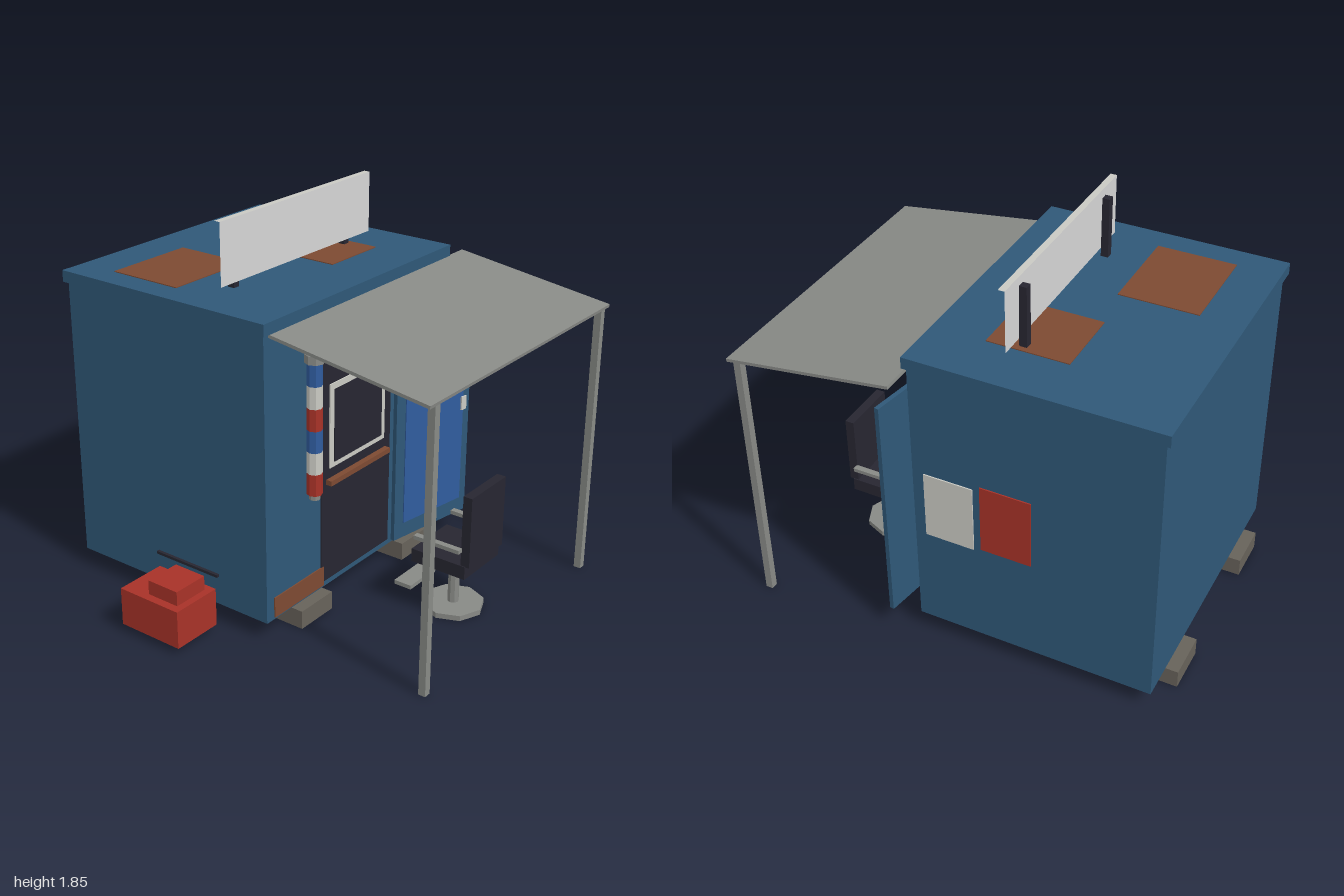
import * as THREE from 'three';

const mat = (name, color) => {
  const m = new THREE.MeshStandardMaterial({ color });
  m.name = name;
  return m;
};

export function createModel() {
  const root = new THREE.Group();
  root.name = 'barberKiosk';
  const wall = mat('wallBlue', 0x2f5878);
  const blue = mat('brightBlue', 0x305c9e);
  const dark = mat('nearBlack', 0x272631);
  const white = mat('offWhite', 0xcacac3);
  const red = mat('red', 0xa83228);
  const metal = mat('greyMetal', 0x888a86);
  const timber = mat('skidGrey', 0x67625a);
  const rust = mat('rust', 0x7d4a32);
  const signGrey = mat('signGrey', 0xd6d6d6);

  const add = (name, geo, material, x, y, z, parent = root) => {
    const m = new THREE.Mesh(geo, material);
    m.name = name;
    m.position.set(x, y, z);
    parent.add(m);
    return m;
  };
  // Box given by its extents on each axis
  const box = (name, material, [x0, x1], [y0, y1], [z0, z1], parent = root) =>
    add(name, new THREE.BoxGeometry(x1 - x0, y1 - y0, z1 - z0), material,
      (x0 + x1) / 2, (y0 + y1) / 2, (z0 + z1) / 2, parent);
  // Faceted upright cylinder
  const cyl = (name, material, r, [y0, y1], x, z, parent) => {
    const g = new THREE.CylinderGeometry(r, r, y1 - y0, 8).toNonIndexed();
    g.computeVertexNormals();
    return add(name, g, material, x, (y0 + y1) / 2, z, parent);
  };
  const group = (name) => {
    const g = new THREE.Group();
    g.name = name;
    root.add(g);
    return g;
  };

  // Cabin, roof and skids
  box('cabin', wall, [-0.595, 0.775], [0.09, 1.46], [-0.94, 0.2]);
  box('roof', wall, [-0.61, 0.79], [1.46, 1.515], [-0.96, 0.215]);
  for (const x of [-0.42, 0.38]) box('skid', timber, [x, x + 0.225], [0, 0.09], [-1, 0.26]);

  // Rust patches on the roof and front wall
  box('roofRustPatch', rust, [-0.485, -0.03], [1.514, 1.519], [-0.755, -0.38]);
  box('roofRustPatch', rust, [0.195, 0.535], [1.514, 1.519], [-0.42, -0.04]);
  box('wallRustPatch', rust, [-0.545, -0.185], [0.1, 0.2], [0.199, 0.206]);

  // Doorway with mirror and shelf
  box('doorway', dark, [-0.205, 0.33], [0.12, 1.285], [0.199, 0.205]);
  box('mirrorFrame', white, [-0.15, 0.275], [0.69, 1.1], [0.204, 0.211]);
  box('mirror', dark, [-0.12, 0.245], [0.715, 1.07], [0.21, 0.215]);
  box('shelf', rust, [-0.17, 0.29], [0.615, 0.64], [0.204, 0.235]);

  // Door standing ajar
  const door = group('door');
  door.position.set(0.59, 0, 0.272);
  door.rotation.y = -0.165;
  box('doorLeaf', wall, [-0.257, 0.257], [0.12, 1.26], [-0.011, 0.011], door);
  box('doorPanel', blue, [-0.197, 0.21], [0.2, 1.175], [0.01, 0.016], door);
  box('doorHandle', white, [0.19, 0.225], [0.69, 0.76], [0.015, 0.024], door);

  // Notices on the side wall
  box('whiteNotice', white, [0.774, 0.781], [0.59, 0.925], [-0.09, 0.145]);
  box('redNotice', red, [0.774, 0.781], [0.605, 0.95], [-0.365, -0.125]);

  // Striped pole
  const pole = group('stripedPole');
  const stripes = [red, white, blue];
  for (let i = 0; i < 6; i++) {
    const y = 0.66 + i * 0.1035;
    cyl('poleStripe', stripes[i % 3], 0.036, [y, y + 0.1035], -0.34, 0.27, pole);
  }
  cyl('poleTopCap', metal, 0.045, [1.281, 1.32], -0.34, 0.27, pole);
  cyl('poleBottomCap', metal, 0.026, [0.635, 0.66], -0.34, 0.27, pole);

  // Awning and its posts
  const awning = add('awning', new THREE.BoxGeometry(1.485, 0.015, 0.806), metal, 0.1775, 1.395, 0.6);
  awning.rotation.x = 0.137;
  for (const x of [-0.525, 0.845]) box('awningPost', metal, [x, x + 0.035], [0, 1.338], [0.963, 0.998]);

  // Roof sign: open-ended shell on two posts
  const sign = group('roofSign');
  sign.position.set(0.09, 1.7, -0.165);
  const face = new THREE.PlaneGeometry(1.08, 0.29);
  const rim = new THREE.PlaneGeometry(1.08, 0.03);
  add('signFront', face, signGrey, 0, 0, 0.015, sign);
  add('signBack', face, signGrey, 0, 0, -0.015, sign).rotation.y = Math.PI;
  add('signTop', rim, white, 0, 0.145, 0, sign).rotation.x = -Math.PI / 2;
  add('signBottom', rim, white, 0, -0.145, 0, sign).rotation.x = Math.PI / 2;
  for (const x of [-0.33, 0.475]) box('signPost', dark, [x, x + 0.035], [1.515, 1.805], [-0.216, -0.181]);

  // Barber chair facing the mirror
  const chair = group('barberChair');
  cyl('chairBase', metal, 0.147, [0, 0.026], 0.177, 0.688, chair);
  cyl('chairColumn', metal, 0.027, [0.026, 0.25], 0.177, 0.688, chair);
  box('seat', dark, [0.03, 0.325], [0.25, 0.315], [0.545, 0.83], chair);
  box('backrest', dark, [0.035, 0.32], [0.313, 0.66], [0.805, 0.85], chair);
  for (const x of [0.005, 0.315]) box('armrest', metal, [x, x + 0.03], [0.383, 0.402], [0.57, 0.81], chair);
  box('footrest', metal, [0.07, 0.28], [0.07, 0.09], [0.428, 0.52], chair);

  // Generator beside the cabin
  const generator = group('generator');
  box('generatorBody', red, [-0.925, -0.67], [0.035, 0.22], [-0.375, -0.035], generator);
  box('generatorTank', red, [-0.885, -0.705], [0.22, 0.29], [-0.24, -0.07], generator);
  box('generatorPanel', dark, [-0.671, -0.664], [0.08, 0.19], [-0.31, -0.165], generator);
  box('generatorHandle', dark, [-0.676, -0.661], [0.284, 0.297], [-0.385, -0.02], generator);

  return root;
}
